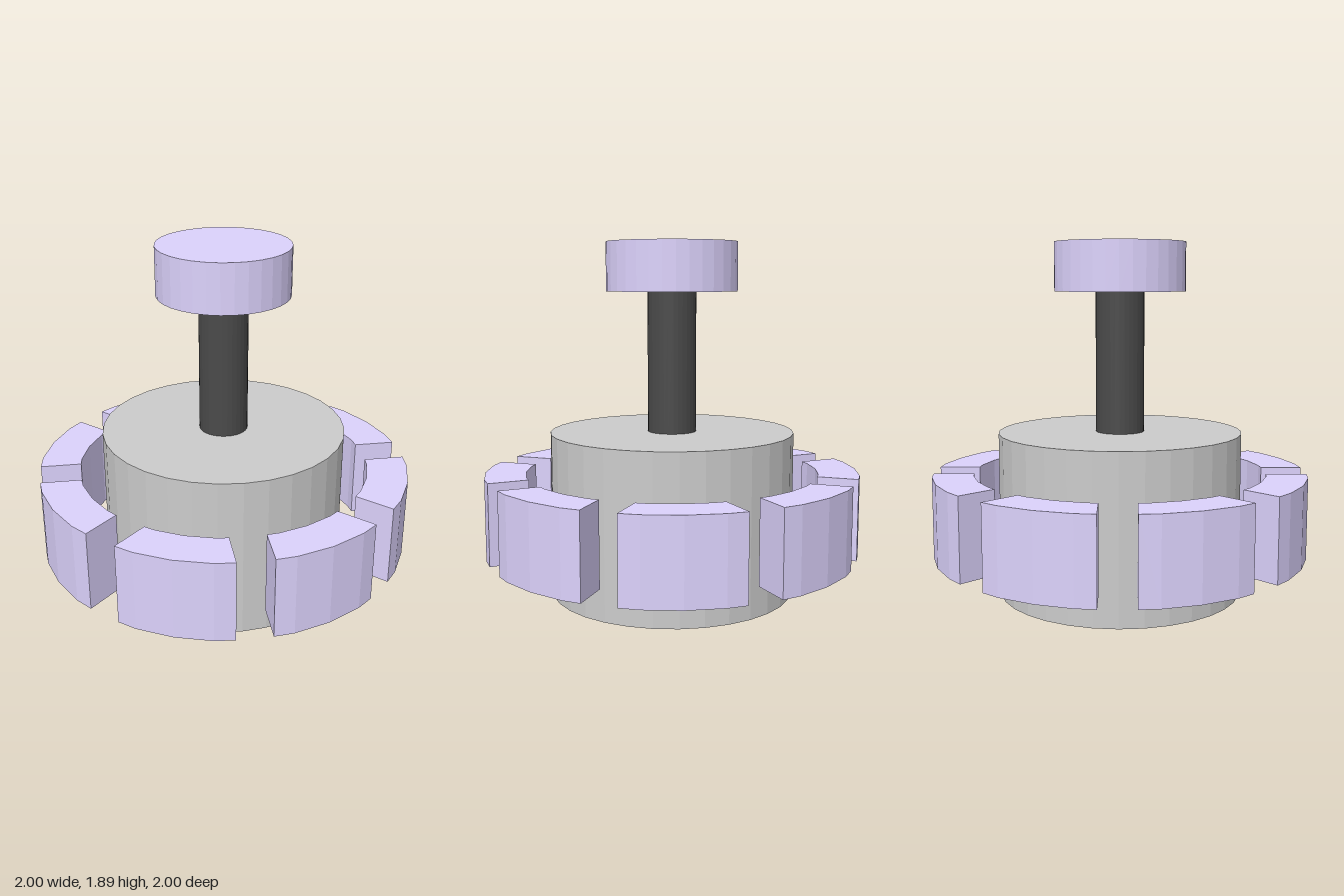
import * as THREE from 'three';

const SIDES = 32;
const lavender = new THREE.MeshStandardMaterial({ color: 0xdcd2fc, flatShading: true });
const grey = new THREE.MeshStandardMaterial({ color: 0xcccccc, flatShading: true });
const dark = new THREE.MeshStandardMaterial({ color: 0x4a4a4a, flatShading: true });

// Upright cylinder between two heights
function disc(name, radius, bottom, top, material) {
  const mesh = new THREE.Mesh(
    new THREE.CylinderGeometry(radius, radius, top - bottom, SIDES), material);
  mesh.name = name;
  mesh.position.y = (bottom + top) / 2;
  return mesh;
}

// Faceted arc of one ring block, cut off parallel to the gaps on either side
function arcPoints(radius, halfGap) {
  const step = (Math.PI * 2) / SIDES;
  const edge = radius - halfGap * Math.tan(step / 2);
  const start = Math.atan2(halfGap, edge);
  const at = (r, a) => new THREE.Vector2(r * Math.cos(a), r * Math.sin(a));
  const endRadius = Math.hypot(edge, halfGap);
  return [
    at(endRadius, start),
    ...[1, 2, 3].map((i) => at(radius, i * step)),
    at(endRadius, Math.PI / 4 - start),
  ];
}

export function createModel() {
  const model = new THREE.Group();

  // Central column: drum, stem and knob
  model.add(disc('drum', 0.655, 0, 0.88, grey));
  model.add(disc('stem', 0.13, 0.88, 1.63, dark));
  model.add(disc('knob', 0.35, 1.63, 1.89, lavender));

  // Ring of eight separate blocks around the drum
  const shape = new THREE.Shape([
    ...arcPoints(1.009, 0.092),
    ...arcPoints(0.79, 0.092).reverse(),
  ]);
  const blockGeometry = new THREE.ExtrudeGeometry(shape, { depth: 0.44, bevelEnabled: false });
  blockGeometry.rotateX(-Math.PI / 2);

  const ring = new THREE.Group();
  ring.name = 'blockRing';
  ring.position.y = 0.22;
  for (let i = 0; i < 8; i++) {
    const block = new THREE.Mesh(blockGeometry, lavender);
    block.name = `ringBlock${i + 1}`;
    block.rotation.y = (i * Math.PI) / 4;
    ring.add(block);
  }
  model.add(ring);

  return model;
}
